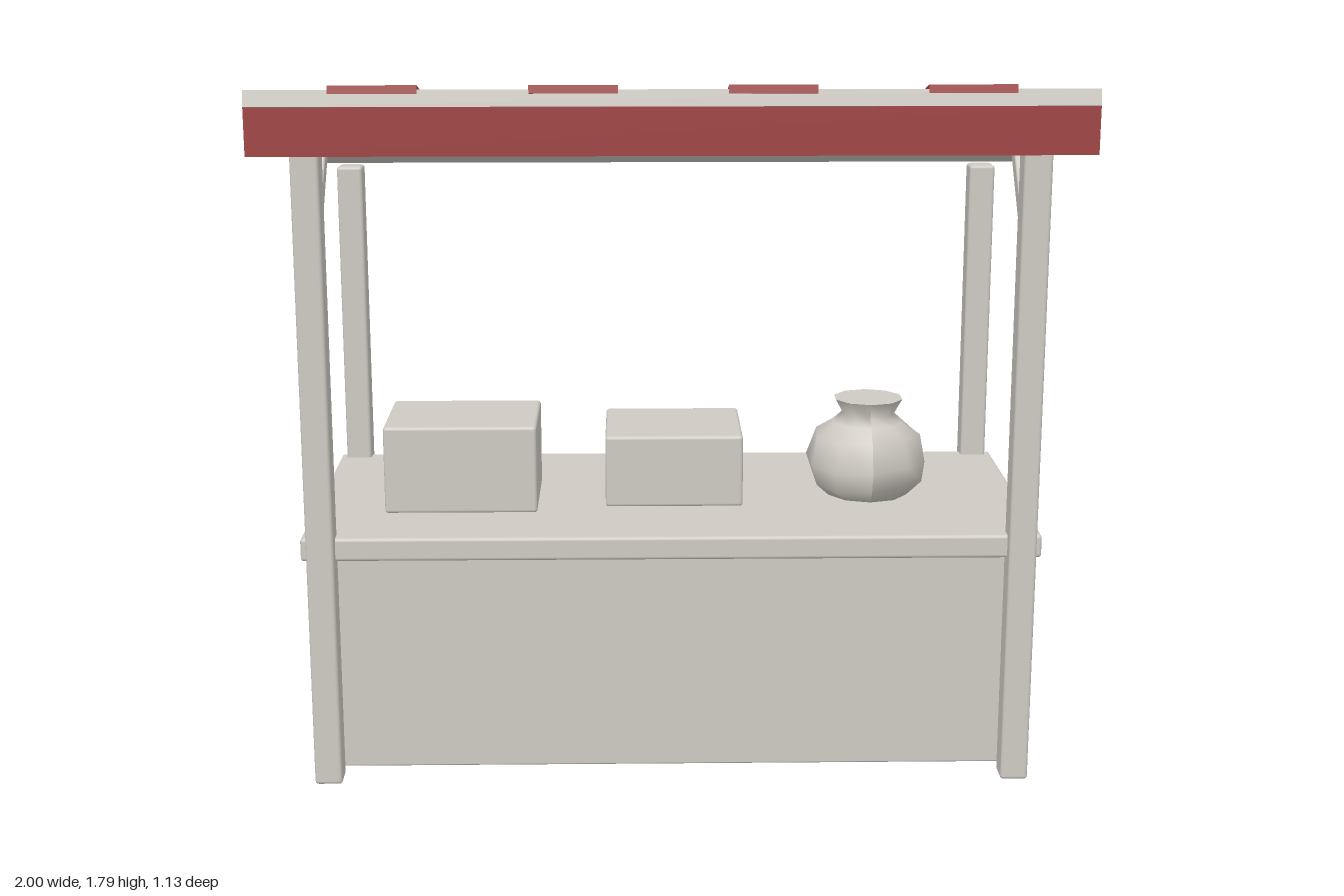
import * as THREE from 'three';
import { RoundedBoxGeometry } from 'three/addons/geometries/RoundedBoxGeometry.js';

export function createModel() {
  const stall = new THREE.Group();
  stall.name = 'marketStall';
  const pale = new THREE.MeshStandardMaterial({ color: 0xcfcbc3 });
  pale.name = 'paleWood';
  const red = new THREE.MeshStandardMaterial({ color: 0xa04444 });
  red.name = 'redCloth';

  const add = (name, geometry, material, parent = stall) => {
    const mesh = new THREE.Mesh(geometry, material);
    mesh.name = name;
    parent.add(mesh);
    return mesh;
  };
  // Bevelled block given by its limits on each axis
  const block = (name, [x0, x1], [y0, y1], [z0, z1], bevel = 0.009) => {
    const geometry = new RoundedBoxGeometry(x1 - x0, y1 - y0, z1 - z0, 2, bevel);
    const mesh = add(name, geometry, pale);
    mesh.position.set((x0 + x1) / 2, (y0 + y1) / 2, (z0 + z1) / 2);
    return mesh;
  };

  // Posts and roof braces, mirrored left and right
  for (const side of [-1, 1]) {
    const label = side > 0 ? 'left' : 'right';
    const x = side * 0.882;
    block(label + 'FrontPost', [x - 0.035, x + 0.035], [0, 1.715], [0.372, 0.445]);
    block(label + 'BackPost', [x - 0.035, x + 0.035], [0, 1.485], [-0.442, -0.37]);

    const low = new THREE.Vector3(x, 1.365, 0.4);
    const high = new THREE.Vector3(x, 1.66, 0.15);
    const along = high.clone().sub(low);
    const brace = add(label + 'Brace', new RoundedBoxGeometry(0.045, along.length(), 0.042, 2, 0.006), pale);
    brace.position.copy(low).lerp(high, 0.5);
    brace.quaternion.setFromUnitVectors(new THREE.Vector3(0, 1, 0), along.normalize());
  }

  // Counter and front panel
  block('counter', [-0.935, 0.935], [0.59, 0.65], [-0.412, 0.415]);
  block('frontPanel', [-0.865, 0.865], [0.02, 0.595], [0.344, 0.374], 0.005);

  // Sloping roof with raised stripes
  const roof = new THREE.Group();
  roof.name = 'roof';
  roof.position.y = 1.628;
  roof.rotation.x = -0.237;
  stall.add(roof);
  add('roofBoard', new THREE.BoxGeometry(2, 0.04, 1.152), pale, roof);
  for (let i = 0; i < 4; i++) {
    const stripe = add('roofStripe', new THREE.BoxGeometry(0.208, 0.02, 1.156), red, roof);
    stripe.position.set(-0.7 + i * 0.4667, 0.02, 0);
  }

  // Hanging strip under the front edge
  const valance = add('valance', new THREE.BoxGeometry(2, 0.115, 0.025), red);
  valance.position.set(0, 1.6855, 0.55);

  // Goods on the counter
  block('largeCrate', [-0.746, -0.348], [0.648, 0.88], [-0.115, 0.19]);
  block('smallCrate', [-0.17, 0.192], [0.648, 0.84], [-0.18, 0.14]);

  // Lumpy pot with a narrow neck and closed, flared mouth
  const profile = [[0, 0.65], [0.11, 0.65], [0.148, 0.685], [0.163, 0.74], [0.142, 0.815],
    [0.095, 0.848], [0.07, 0.87], [0.093, 0.912]].map(([r, y]) => new THREE.Vector2(r, y));
  const body = new THREE.LatheGeometry(profile, 10);
  const p = body.attributes.position;
  for (let i = 0; i < p.count; i++) {
    const y = p.getY(i);
    if (y < 0.67 || y > 0.83) continue;
    const a = Math.atan2(p.getZ(i), p.getX(i));
    const swell = 1 + 0.035 * Math.sin(3 * a + y * 30);
    p.setXYZ(i, p.getX(i) * swell, y + 0.008 * Math.sin(2 * a), p.getZ(i) * swell * 0.97);
  }
  body.computeVertexNormals();
  const pot = new THREE.Group();
  pot.name = 'pot';
  pot.position.set(0.533, 0, 0.004);
  stall.add(pot);
  add('potBody', body, pale, pot);
  const mouth = add('potMouth', new THREE.CircleGeometry(0.093, 10, Math.PI / 2), pale, pot);
  mouth.rotation.x = -Math.PI / 2;
  mouth.position.y = 0.912;

  return stall;
}
